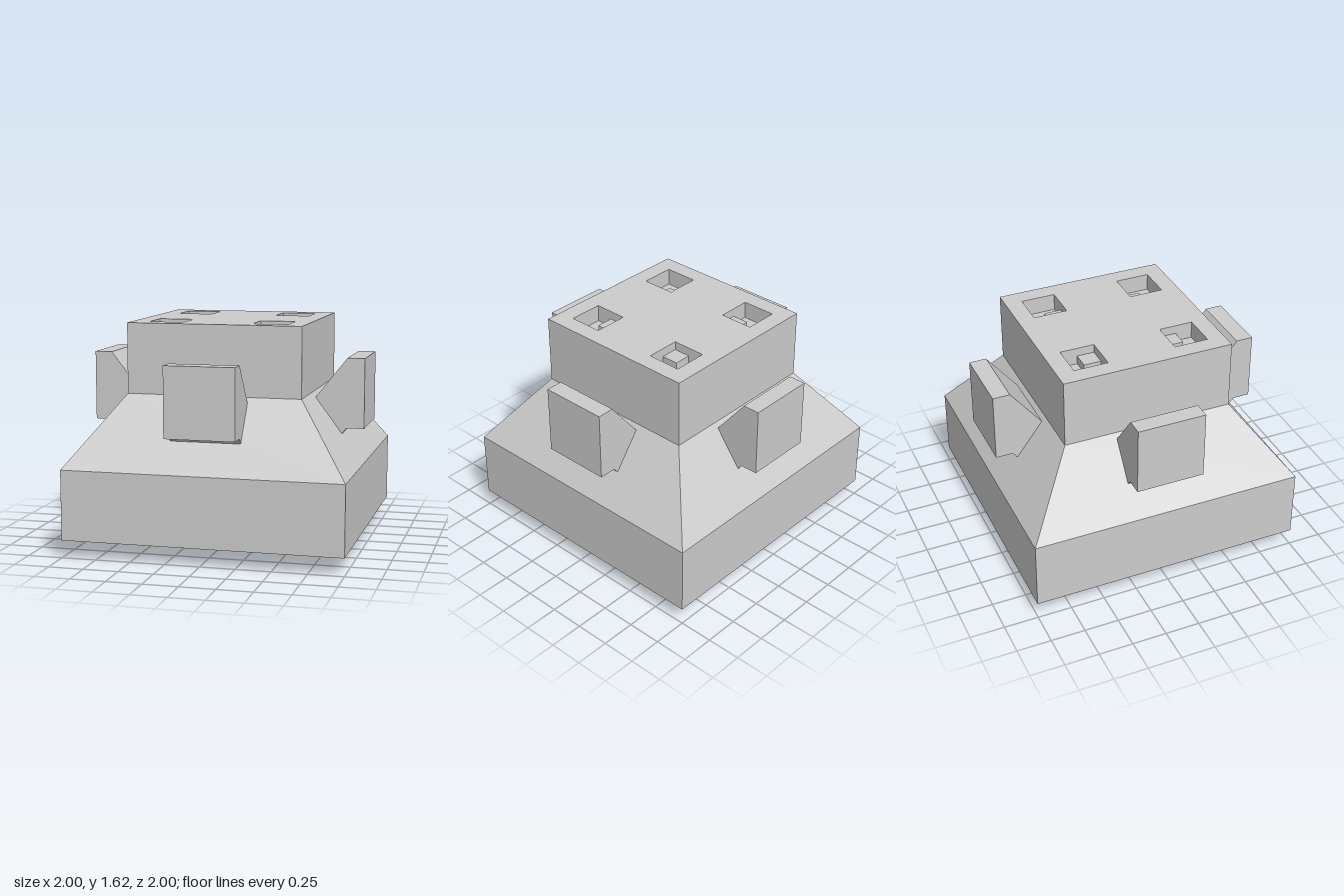
import * as THREE from 'three';

const material = new THREE.MeshStandardMaterial({ color: 0xcccccc, flatShading: true });

function part(name, geometry, parent) {
  const mesh = new THREE.Mesh(geometry, material);
  mesh.name = name;
  parent.add(mesh);
  return mesh;
}

// Box given by its size, centre x/z and bottom y
function box(name, w, h, d, x, y, z, parent) {
  part(name, new THREE.BoxGeometry(w, h, d), parent).position.set(x, y + h / 2, z);
}

// Flat-faced solid with a square plan, from half-widths and heights
function squareLathe(profile) {
  const points = profile.map(([half, y]) => new THREE.Vector2(half * Math.SQRT2, y));
  const geometry = new THREE.LatheGeometry(points, 4, Math.PI / 4).toNonIndexed();
  geometry.computeVertexNormals();
  return geometry;
}

function squarePath(path, x, y, half) {
  path.moveTo(x - half, y - half);
  path.lineTo(x + half, y - half);
  path.lineTo(x + half, y + half);
  path.lineTo(x - half, y + half);
  path.closePath();
  return path;
}

export function createModel() {
  const model = new THREE.Group();
  model.name = 'squareBlock';

  // Square base, sloping shoulder and upper block up to the pocket floors
  part('body', squareLathe([
    [0, 0.125], [1, 0.125], [1, 0.625], [0.625, 1.125], [0.625, 1.5], [0, 1.5],
  ]), model);

  // Stud under the base
  box('bottomStud', 0.5, 0.125, 0.5, 0, 0, 0, model);

  // Top layer with four square pockets, each with a step in its inner corner
  const outline = squarePath(new THREE.Shape(), 0, 0, 0.625);
  for (const sx of [-1, 1]) {
    for (const sz of [-1, 1]) {
      outline.holes.push(squarePath(new THREE.Path(), sx * 0.375, sz * 0.375, 0.125));
      box('pocketStep', 0.125, 0.0625, 0.125, sx * 0.3125, 1.5, sz * 0.3125, model);
    }
  }
  const top = new THREE.ExtrudeGeometry(outline, { depth: 0.125, bevelEnabled: false });
  top.rotateX(-Math.PI / 2);
  part('topLayer', top, model).position.y = 1.5;

  // Bent lugs standing out of the four slopes: profile is (outward, up)
  const profile = [
    [1, 0.875], [1, 1.375], [0.875, 1.375], [0.65, 1.09], [0.842, 0.835], [0.875, 0.875],
  ].map(([out, up]) => new THREE.Vector2(out, up));
  const lug = new THREE.ExtrudeGeometry(new THREE.Shape(profile), { depth: 0.5, bevelEnabled: false });
  lug.translate(0, 0, -0.25);
  ['leftLug', 'backLug', 'rightLug', 'frontLug'].forEach((name, i) => {
    part(name, lug, model).rotation.y = i * Math.PI / 2;
  });

  return model;
}
